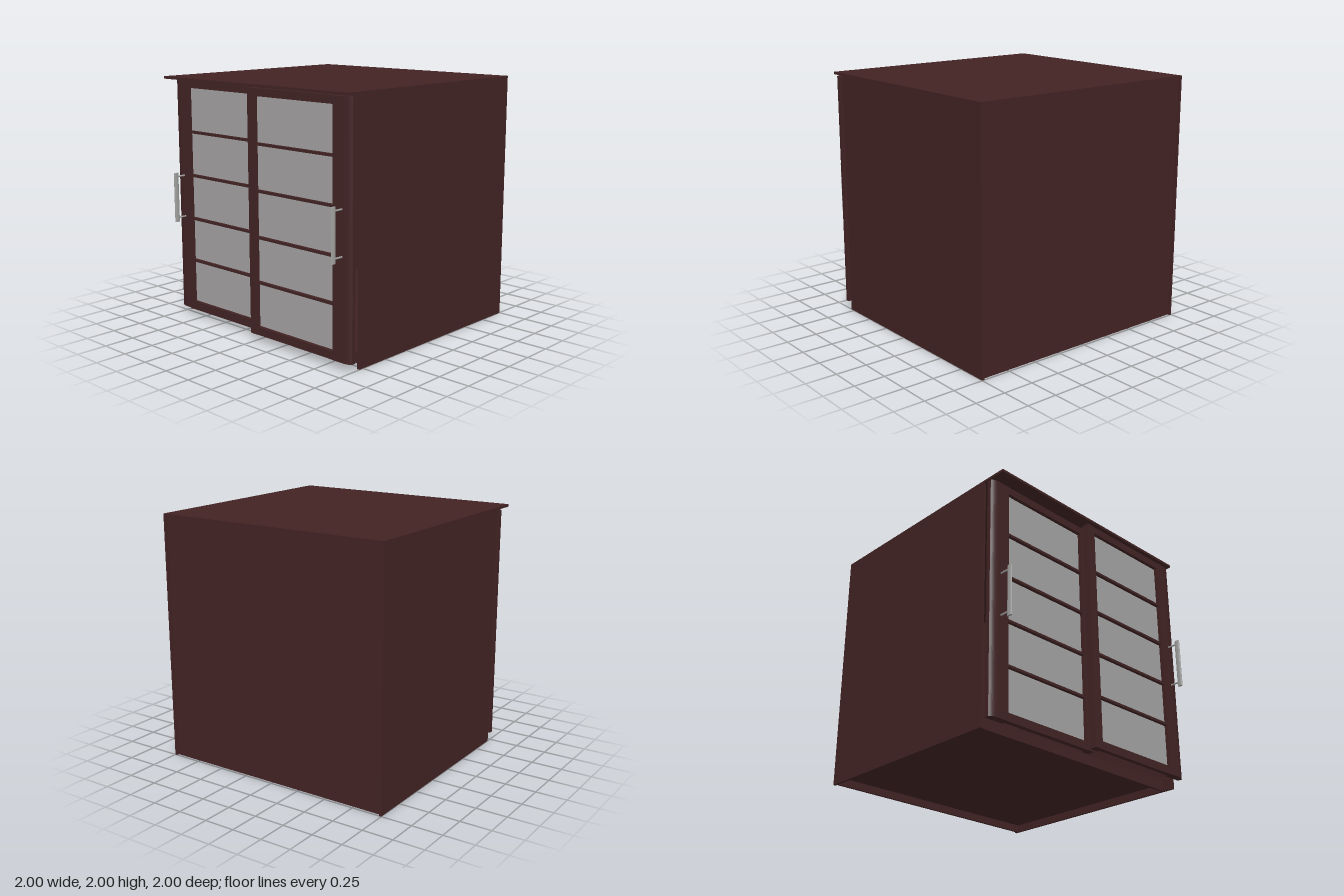
import * as THREE from 'three';

export function createModel() {
  const model = new THREE.Group();
  model.name = 'slidingDoorWardrobe';

  const wood = new THREE.MeshStandardMaterial({ color: 0x422324 });
  wood.name = 'dark brown wood';
  const glass = new THREE.MeshStandardMaterial({ color: 0xa5a3a4 });
  glass.name = 'frosted glass';
  const metal = new THREE.MeshStandardMaterial({ color: 0xa0a19f });
  metal.name = 'brushed metal';

  // Box given by its extents on each axis
  function box(parent, name, mat, [x0, x1], [y0, y1], [z0, z1]) {
    const mesh = new THREE.Mesh(new THREE.BoxGeometry(x1 - x0, y1 - y0, z1 - z0), mat);
    mesh.position.set((x0 + x1) / 2, (y0 + y1) / 2, (z0 + z1) / 2);
    mesh.name = name;
    parent.add(mesh);
    return mesh;
  }

  // Upright extrusion of a plan shape drawn as (x, -z)
  function upright(parent, name, mat, shape, y0, y1) {
    const geo = new THREE.ExtrudeGeometry(shape, { depth: y1 - y0, bevelEnabled: false, curveSegments: 10 });
    geo.rotateX(-Math.PI / 2);
    const mesh = new THREE.Mesh(geo, mat);
    mesh.position.y = y0;
    mesh.name = name;
    parent.add(mesh);
    return mesh;
  }

  // Carcass: the left-hand sliding door runs in front of a shorter side panel
  const body = new THREE.Group();
  body.name = 'carcass';
  model.add(body);
  box(body, 'topBoard', wood, [-1, 1], [1.98, 2], [-1, 0.915]);
  box(body, 'longSidePanel', wood, [0.98, 1], [0, 1.98], [-1, 0.79]);
  box(body, 'shortSidePanel', wood, [-1, -0.98], [0, 1.98], [-1, 0.71]);
  box(body, 'backPanel', wood, [-0.98, 0.98], [0.06, 1.98], [-0.985, -0.97]);
  box(body, 'floorPanel', wood, [-0.98, 0.98], [0.06, 0.08], [-0.97, 0.7]);
  box(body, 'frontPlinth', wood, [-0.98, 0.98], [0, 0.06], [0.68, 0.7]);
  box(body, 'backPlinth', wood, [-0.98, 0.98], [0, 0.06], [-0.98, -0.96]);

  // Bow-ended pull handle on two posts; zFace is the door face it stands on
  function addHandle(parent, x, zFace) {
    const handle = new THREE.Group();
    handle.name = 'handle';
    handle.position.set(x, 0, zFace);
    const plan = new THREE.Shape();
    plan.absellipse(0, -0.0875, 0.009, 0.0225, 0, Math.PI * 2);
    upright(handle, 'handleBar', metal, plan, 0.81, 1.217);
    for (const y of [0.845, 1.187]) {
      const post = new THREE.Mesh(new THREE.CylinderGeometry(0.007, 0.007, 0.075, 12), metal);
      post.rotation.x = Math.PI / 2;
      post.position.set(0, y, 0.0375);
      post.name = 'handlePost';
      handle.add(post);
    }
    parent.add(handle);
  }

  // Door: s is the side of the outer stile (+1 or -1), z0 to z1 its thickness
  function addDoor(name, s, z0, z1, handleX) {
    const door = new THREE.Group();
    door.name = name;
    const bottom = 0.06, top = 1.97;
    const inner = 0.0375, outer = 0.835;
    const span = s > 0 ? [inner, outer] : [-outer, -inner];

    // Outer stile with a rounded front edge
    const plan = new THREE.Shape();
    plan.moveTo(s * outer, -z0);
    plan.lineTo(s * 1, -z0);
    plan.lineTo(s * 1, -(z1 - 0.025));
    plan.quadraticCurveTo(s * 0.98, -z1, s * 0.92, -z1);
    plan.lineTo(s * outer, -z1);
    plan.closePath();
    upright(door, 'outerStile', wood, plan, bottom, top);

    box(door, 'centreStile', wood, [-inner, inner], [bottom, top], [z0, z1]);
    box(door, 'bottomRail', wood, span, [bottom, 0.125], [z0 + 0.02, z1 - 0.003]);
    box(door, 'topRail', wood, span, [1.91, top], [z0 + 0.02, z1 - 0.003]);
    for (const y of [0.48, 0.835, 1.195, 1.553]) {
      box(door, 'glazingBar', wood, span, [y - 0.01, y + 0.01], [z0 + 0.02, z1 - 0.005]);
    }
    box(door, 'glassPane', glass, span, [bottom + 0.005, top - 0.005], [z0 + 0.016, z0 + 0.03]);
    // Rail strips hold the glass, so the pane sits behind them
    addHandle(door, handleX, z1);
    model.add(door);
  }

  addDoor('frontSlidingDoor', 1, 0.832, 0.893, 0.922);
  addDoor('rearSlidingDoor', -1, 0.748, 0.809, -0.91);

  return model;
}
